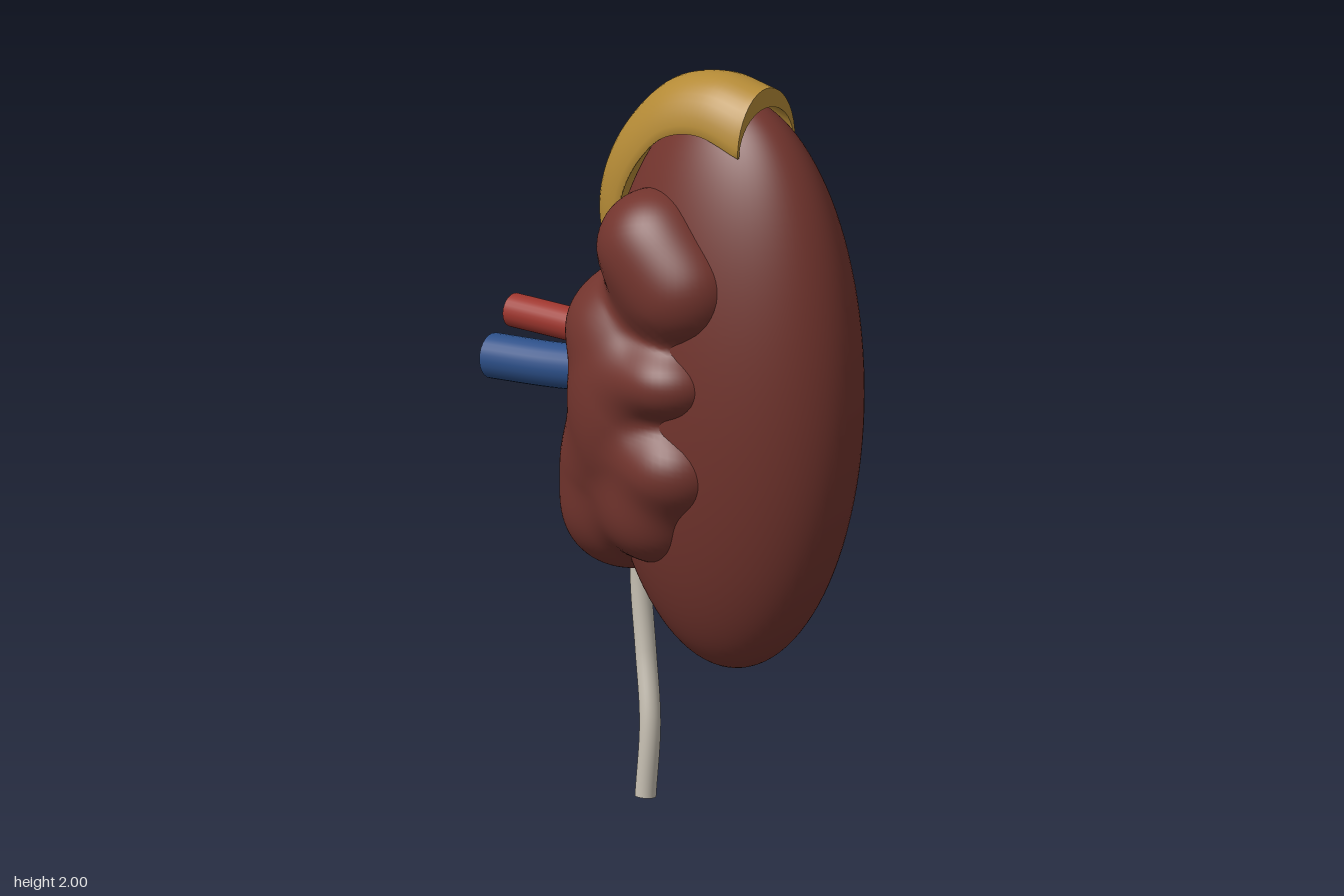
import * as THREE from 'three';
import { mergeVertices } from 'three/addons/utils/BufferGeometryUtils.js';

const V = (x, y, z) => new THREE.Vector3(x, y, z);
const mat = (name, color, side = THREE.FrontSide) => {
  const m = new THREE.MeshStandardMaterial({ color, side });
  m.name = name;
  return m;
};

// Lobes of the hilum mass: centre, radii
const lobes = [
  [V(-0.07, 1.11, 0), V(0.22, 0.4, 0.28)],
  [V(-0.17, 1.295, 0.01), V(0.128, 0.125, 0.19)],
  [V(-0.19, 0.9, -0.05), V(0.17, 0.23, 0.235)],
  [V(-0.17, 0.77, -0.01), V(0.17, 0.15, 0.18)],
];
for (const s of [1, -1]) {
  lobes.push(
    [V(0.025, 1.54, s * 0.135), V(0.165, 0.16, 0.155)],
    [V(0.115, 1.45, s * 0.15), V(0.165, 0.155, 0.148)],
    [V(0.09, 1.2, s * 0.165), V(0.15, 0.105, 0.138)],
    [V(0.095, 0.96, s * 0.15), V(0.155, 0.13, 0.145)],
    [V(0.02, 0.83, s * 0.125), V(0.15, 0.14, 0.135)],
  );
}

// Smooth union of all the lobes
function field(p) {
  const k = 0.06;
  let d = 1;
  for (const [c, r] of lobes) {
    const q = p.clone().sub(c).divide(r).length() - 1;
    const e = q * Math.min(r.x, r.y, r.z);
    const h = Math.max(k - Math.abs(d - e), 0) / k;
    d = Math.min(d, e) - h * h * k * 0.25;
  }
  return d;
}

// Sphere whose vertices are pulled in along their rays to the blended lobes
function hilumGeometry() {
  let g = new THREE.SphereGeometry(1, 112, 96);
  g.deleteAttribute('uv');
  g.deleteAttribute('normal');
  g = mergeVertices(g, 1e-5);
  const pos = g.attributes.position;
  const origin = V(-0.06, 1.15, 0);
  const dir = V(), p = V();
  const at = (t) => p.copy(origin).addScaledVector(dir, t);
  for (let i = 0; i < pos.count; i++) {
    dir.fromBufferAttribute(pos, i).normalize();
    let t = 0.8;
    while (t > 0.02 && field(at(t)) > 0) t -= 0.015;
    let lo = t, hi = t + 0.015;
    for (let j = 0; j < 7; j++) {
      const m = (lo + hi) / 2;
      if (field(at(m)) > 0) hi = m; else lo = m;
    }
    at(lo);
    pos.setXYZ(i, Math.max(p.x, -0.33), p.y, p.z); // flat cut on the inner side
  }
  g.computeVertexNormals();
  return g;
}

// Crescent cap: stations of inner point, outer point and half width
function capGeometry() {
  const st = [
    [0.265, 1.815, 0.265, 1.978, 0.125],
    [0.13, 1.855, 0.13, 2.0, 0.125],
    [0.02, 1.83, -0.02, 1.965, 0.125],
    [-0.06, 1.755, -0.14, 1.86, 0.125],
    [-0.115, 1.66, -0.22, 1.73, 0.12],
    [-0.14, 1.55, -0.25, 1.6, 0.11],
    [-0.15, 1.46, -0.23, 1.49, 0.085],
    [-0.16, 1.41, -0.18, 1.41, 0.03],
  ];
  const inner = new THREE.CatmullRomCurve3(st.map((s) => V(s[0], s[1], s[4])));
  const outer = new THREE.CatmullRomCurve3(st.map((s) => V(s[2], s[3], s[4])));
  const N = 48, M = 20, ring = 2 * (M + 1);
  const verts = [], idx = [];
  for (let i = 0; i <= N; i++) {
    const a = inner.getPoint(i / N), b = outer.getPoint(i / N);
    for (let j = 0; j < ring; j++) {
      const under = j > M;
      const th = Math.PI * (under ? ring - 1 - j : j) / M;
      const h = Math.sin(th) * (under ? 0.68 : 1);
      verts.push(a.x + (b.x - a.x) * h, a.y + (b.y - a.y) * h,
        -0.012 + Math.cos(th) * a.z * (under ? 0.94 : 1));
    }
  }
  for (let i = 0; i < N; i++) {
    for (let j = 0; j < ring; j++) {
      const a = i * ring + j, b = i * ring + (j + 1) % ring;
      idx.push(a, a + ring, b, b, a + ring, b + ring);
    }
  }
  // Crescent end face on its own vertices, to keep the edge sharp
  const base = verts.length / 3;
  verts.push(...verts.slice(0, ring * 3));
  for (let j = 0; j < M; j++) {
    const a = base + j, b = base + j + 1;
    const c = base + ring - 1 - j, d = base + ring - 2 - j;
    idx.push(a, b, c, b, d, c);
  }
  const g = new THREE.BufferGeometry();
  g.setAttribute('position', new THREE.Float32BufferAttribute(verts, 3));
  g.setIndex(idx);
  g.computeVertexNormals();
  return g;
}

export function createModel() {
  const group = new THREE.Group();
  const tissue = mat('kidney brown', 0x72342d);
  const gold = mat('gland yellow', 0xb48a36, THREE.DoubleSide);
  const red = mat('artery red', 0x9e362e, THREE.DoubleSide);
  const blue = mat('vein blue', 0x2c4f88, THREE.DoubleSide);
  const pale = mat('ureter ivory', 0xc5beb1, THREE.DoubleSide);
  const add = (name, geometry, material) => {
    const m = new THREE.Mesh(geometry, material);
    m.name = name;
    group.add(m);
    return m;
  };

  // Outer body
  const body = add('kidneyBody', new THREE.SphereGeometry(1, 72, 56), tissue);
  body.scale.set(0.39, 0.768, 0.244);
  body.position.set(0.159, 1.173, -0.005);
  body.rotation.set(-0.02, 0, 0.01);

  add('hilumLobes', hilumGeometry(), tissue);
  add('adrenalCap', capGeometry(), gold);

  // Hollow vessels, each with an inner wall
  const vessel = (name, pts, r, material) => {
    const curve = new THREE.CatmullRomCurve3(pts);
    add(name, new THREE.TubeGeometry(curve, 32, r, 24), material);
    add(name + 'Lining', new THREE.TubeGeometry(curve, 32, r * 0.82, 24), material);
    const rim = add(name + 'Rim', new THREE.RingGeometry(r * 0.82, r, 24), material);
    rim.position.copy(pts[0]);
    rim.lookAt(pts[0].clone().sub(curve.getTangent(0)));
  };
  vessel('artery', [V(-0.55, 1.243, -0.005), V(-0.35, 1.24, 0.006), V(-0.2, 1.235, 0.015)], 0.045, red);
  vessel('vein', [V(-0.54, 1.145, 0.098), V(-0.35, 1.153, 0.097), V(-0.2, 1.165, 0.095)], 0.06, blue);
  vessel('ureter', [V(-0.126, 0.001, -0.01), V(-0.12, 0.2, -0.022), V(-0.155, 0.38, -0.05),
    V(-0.178, 0.55, -0.06), V(-0.18, 0.68, -0.06)], 0.028, pale);

  return group;
}
